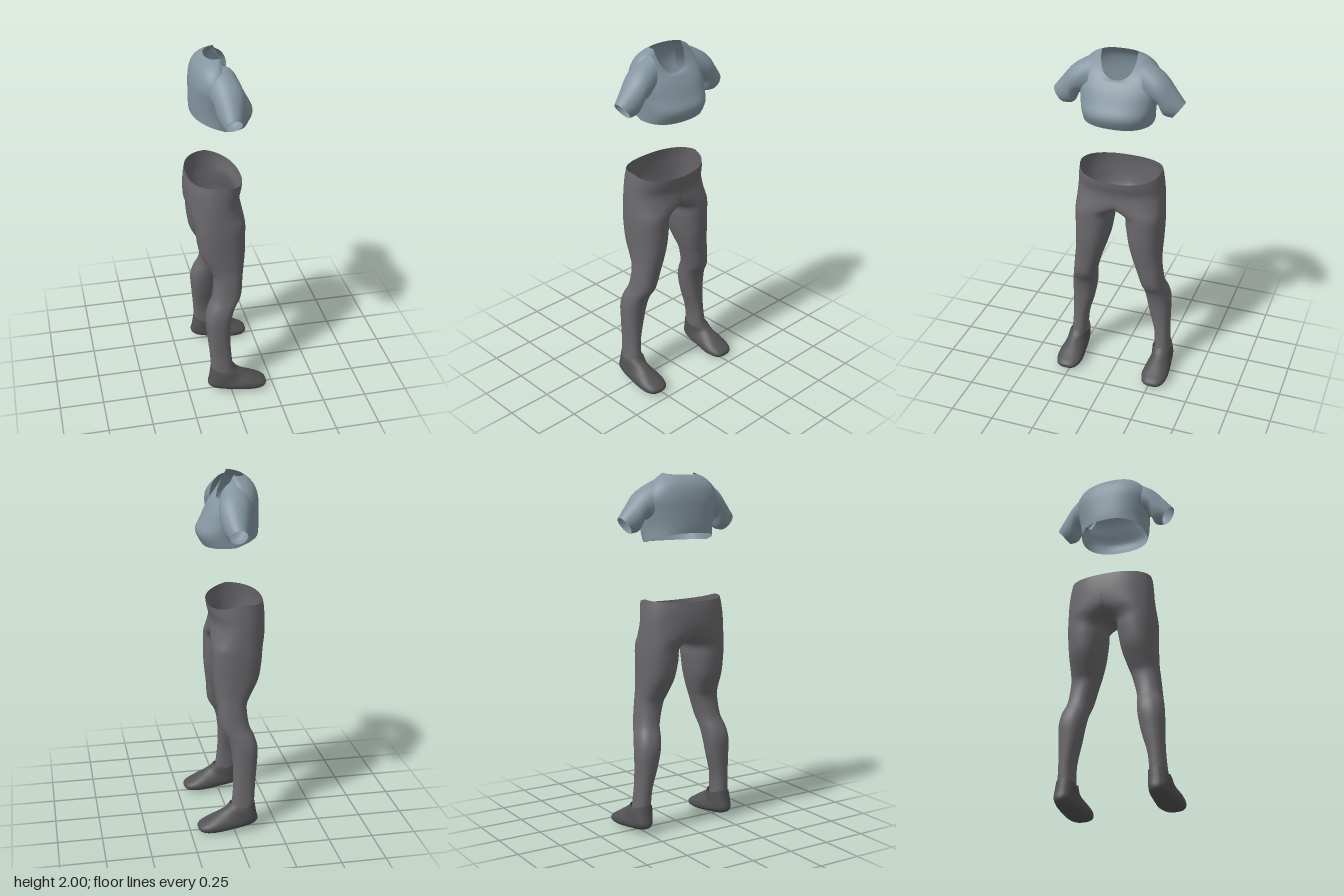
import * as THREE from 'three';
import { mergeGeometries, mergeVertices } from 'three/addons/utils/BufferGeometryUtils.js';

const material = (name, color) => {
  const m = new THREE.MeshStandardMaterial({ color, side: THREE.DoubleSide });
  m.name = name;
  return m;
};

// Each ring: [back x, back y, front x, front y, inner z, outer z, side y (optional)].
// Rings are joined by smooth curves; square < 1 makes the outline boxier.
function loft(rings, { square = 1, clamp = false, swap = false, sides = 32, steps = 4 } = {}) {
  const full = rings.map(r => [...r.slice(0, 6), r[6] ?? (r[1] + r[3]) / 2]);
  const at = (k, i) => full[Math.min(Math.max(k, 0), full.length - 1)][i];
  const power = v => Math.sign(v) * Math.abs(v) ** square;
  const pos = [], index = [];
  const count = (full.length - 1) * steps;
  for (let j = 0; j <= count; j++) {
    const k = Math.min(Math.floor(j / steps), full.length - 2), t = j / steps - k;
    const [bx, by, fx, fy, z0, z1, sy] = full[0].map((_, i) => {
      const a = at(k - 1, i), b = at(k, i), c = at(k + 1, i), d = at(k + 2, i);
      return b + 0.5 * t * (c - a + t * (2 * a - 5 * b + 4 * c - d + t * (3 * (b - c) + d - a)));
    });
    for (let i = 0; i < sides; i++) {
      const a = i / sides * Math.PI * 2, c = power(Math.cos(a)), s = power(Math.sin(a));
      const x = (bx + fx) / 2 + c * (fx - bx) / 2;
      const y = sy + (c > 0 ? fy - sy : sy - by) * c;
      let z = (z0 + z1) / 2 + s * (z1 - z0) / 2;
      if (clamp && z < 0.002) z = 0;
      pos.push(...(swap ? [z, y, x] : [x, y, z]));
    }
  }
  const flat = (...ids) => clamp && ids.every(v => pos[v * 3 + 2] === 0);
  for (let j = 0; j < count; j++) {
    for (let i = 0; i < sides; i++) {
      const a = j * sides + i, b = j * sides + (i + 1) % sides, c = a + sides, d = b + sides;
      for (const tri of [[a, c, b], [b, c, d]]) {
        if (flat(...tri)) continue; // leaves the pelvis open on the middle plane
        index.push(...(swap ? tri : [tri[0], tri[2], tri[1]]));
      }
    }
  }
  const g = new THREE.BufferGeometry();
  g.setAttribute('position', new THREE.Float32BufferAttribute(pos, 3));
  g.setIndex(index);
  g.computeVertexNormals();
  return g;
}

// Mirrored copy across the middle plane, with the winding kept outward
function mirrorZ(g) {
  const m = g.clone().scale(1, 1, -1);
  m.index.array.reverse();
  return m;
}

export function createModel() {
  const model = new THREE.Group();
  const shirtCloth = material('shirt grey blue', 0x8496a0);
  const trouserCloth = material('trouser grey', 0x6a686b);
  const shoeLeather = material('shoe dark grey', 0x525254);
  const add = (name, geometry, mat) => {
    const mesh = new THREE.Mesh(geometry, mat);
    mesh.name = name;
    model.add(mesh);
  };

  // Shirt body, from hem to scooped collar
  add('shirtBody', loft([
    [-0.172, 1.68, 0.132, 1.62, -0.195, 0.195, 1.63],
    [-0.175, 1.72, 0.162, 1.685, -0.2, 0.2, 1.7],
    [-0.174, 1.8, 0.132, 1.75, -0.212, 0.212, 1.77],
    [-0.17, 1.87, 0.1, 1.81, -0.225, 0.225, 1.85],
    [-0.155, 1.93, 0.072, 1.85, -0.2, 0.2, 1.92],
    [-0.125, 1.97, 0.056, 1.863, -0.155, 0.155, 1.97],
    [-0.095, 1.99, 0.046, 1.865, -0.1, 0.1, 2.0],
  ], { square: 0.85, sides: 40 }), shirtCloth);

  // Short sleeves: rings run outward, from underarm to shoulder top
  const sleeve = loft([
    [0.17, 1.74, 0.13, 1.975, -0.12, 0.06],
    [0.222, 1.748, 0.245, 1.91, -0.095, 0.075],
    [0.252, 1.69, 0.315, 1.83, -0.078, 0.062],
    [0.3, 1.678, 0.366, 1.765, -0.058, 0.04],
  ], { swap: true, sides: 24 });
  add('leftSleeve', sleeve, shirtCloth);
  add('rightSleeve', mirrorZ(sleeve), shirtCloth);

  // Trousers: one half from waist to ankle, joined to its mirror
  const half = loft([
    [-0.2, 1.31, 0.105, 1.28, -0.235, 0.235, 1.322],
    [-0.208, 1.26, 0.1, 1.245, -0.243, 0.243, 1.265],
    [-0.21, 1.19, 0.088, 1.19, -0.25, 0.25],
    [-0.2, 1.12, 0.095, 1.12, -0.12, 0.254],
    [-0.18, 1.06, 0.1, 1.06, 0.028, 0.257],
    [-0.173, 0.98, 0.1, 0.98, 0.045, 0.257],
    [-0.155, 0.88, 0.098, 0.88, 0.062, 0.254],
    [-0.11, 0.79, 0.088, 0.79, 0.087, 0.254],
    [-0.085, 0.73, 0.08, 0.73, 0.107, 0.26],
    [-0.095, 0.62, 0.068, 0.62, 0.138, 0.273],
    [-0.125, 0.55, 0.03, 0.55, 0.15, 0.292],
    [-0.14, 0.48, 0.01, 0.48, 0.16, 0.302],
    [-0.133, 0.38, 0.0, 0.38, 0.18, 0.302],
    [-0.122, 0.26, 0.002, 0.26, 0.212, 0.302],
    [-0.115, 0.14, 0.015, 0.14, 0.22, 0.31],
  ], { square: 0.85, clamp: true, sides: 40 });
  const both = mergeGeometries([half, mirrorZ(half)]);
  both.deleteAttribute('normal');
  const trousers = mergeVertices(both, 1e-4);
  trousers.computeVertexNormals();
  add('trousers', trousers, trouserCloth);

  // Shoes: rings swing from the ankle opening round to the toe
  const shoe = loft([
    [-0.118, 0.172, 0.022, 0.165, 0.208, 0.318, 0.145],
    [-0.128, 0.105, 0.04, 0.145, 0.208, 0.325],
    [-0.136, 0.058, 0.06, 0.132, 0.21, 0.328],
    [-0.1, 0.03, 0.085, 0.117, 0.205, 0.332],
    [0.0, 0.014, 0.118, 0.098, 0.196, 0.342],
    [0.09, 0.004, 0.155, 0.076, 0.192, 0.344],
    [0.16, 0.003, 0.188, 0.058, 0.205, 0.332],
    [0.196, 0.013, 0.206, 0.043, 0.228, 0.308],
    [0.208, 0.027, 0.209, 0.03, 0.264, 0.272],
  ], { square: 0.9, sides: 28 });
  add('leftShoe', shoe, shoeLeather);
  add('rightShoe', mirrorZ(shoe), shoeLeather);

  return model;
}
